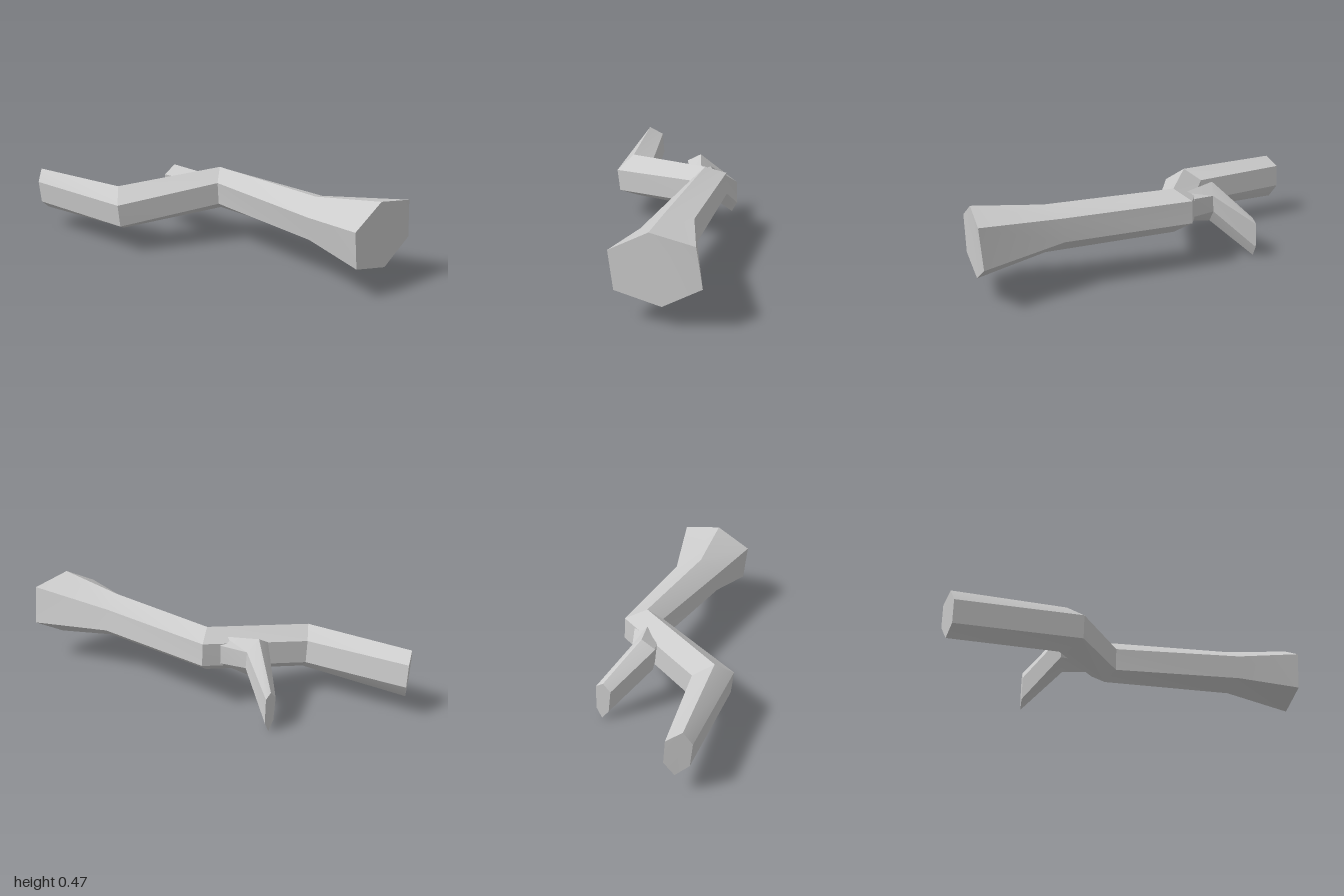
import * as THREE from 'three';
import { toCreasedNormals } from 'three/addons/utils/BufferGeometryUtils.js';

// Skin a run of six-sided cross-sections and cap both ends.
function loft(name, rings, material) {
  const n = rings[0].length;
  const index = [];
  for (let r = 0; r < rings.length - 1; r++) {
    for (let i = 0; i < n; i++) {
      const a = r * n + i, b = r * n + (i + 1) % n;
      index.push(a, b, b + n, a, b + n, a + n);
    }
  }
  const last = (rings.length - 1) * n;
  for (let i = 1; i < n - 1; i++) {
    index.push(0, i + 1, i, last, last + i, last + i + 1);
  }
  const geometry = new THREE.BufferGeometry();
  geometry.setAttribute('position', new THREE.Float32BufferAttribute(rings.flat(2), 3));
  geometry.setIndex(index);
  const mesh = new THREE.Mesh(toCreasedNormals(geometry, 0.45), material);
  mesh.name = name;
  return mesh;
}

export function createModel() {
  const group = new THREE.Group();
  group.name = 'branch';
  const material = new THREE.MeshStandardMaterial({ color: 0xcccccc });

  // Corners run clockwise from the top: top, upper left, lower left, bottom, lower right, upper right.
  const limb = [
    // flared base
    [[0.18, 0.473, 0.985], [0.40, 0.435, 1], [0.43, 0.23, 0.99], [0.24, 0.117, 0.985], [0.01, 0.17, 0.98], [-0.015, 0.365, 0.98]],
    // end of the flare
    [[0.15, 0.42, 0.61], [0.28, 0.38, 0.55], [0.295, 0.26, 0.55], [0.19, 0.18, 0.62], [0.06, 0.22, 0.65], [0.04, 0.345, 0.65]],
    // first elbow
    [[0.18, 0.425, -0.09], [0.285, 0.38, -0.15], [0.29, 0.26, -0.15], [0.19, 0.187, -0.09], [0.12, 0.235, -0.04], [0.11, 0.357, -0.04]],
    // second elbow
    [[-0.315, 0.36, -0.38], [-0.22, 0.31, -0.445], [-0.21, 0.19, -0.445], [-0.29, 0.117, -0.37], [-0.375, 0.163, -0.30], [-0.39, 0.285, -0.30]],
    // tip
    [[-0.39, 0.353, -0.97], [-0.315, 0.305, -1], [-0.305, 0.185, -1], [-0.35, 0.11, -0.975], [-0.415, 0.163, -0.95], [-0.43, 0.285, -0.95]],
  ];

  const twig = [
    // root, sunk into the limb
    [[0.14, 0.38, -0.17], [0.205, 0.36, -0.2], [0.205, 0.26, -0.2], [0.14, 0.22, -0.17], [0.08, 0.25, -0.18], [0.08, 0.34, -0.18]],
    // bend
    [[0.09, 0.403, -0.36], [0.155, 0.345, -0.335], [0.165, 0.26, -0.335], [0.11, 0.19, -0.34], [0.03, 0.24, -0.36], [0.015, 0.36, -0.36]],
    // drooping tip
    [[0.225, 0.213, -0.545], [0.265, 0.19, -0.545], [0.27, 0.06, -0.545], [0.24, 0.003, -0.545], [0.2, 0.05, -0.545], [0.185, 0.17, -0.545]],
  ];

  group.add(loft('limb', limb, material), loft('sideTwig', twig, material));
  return group;
}
